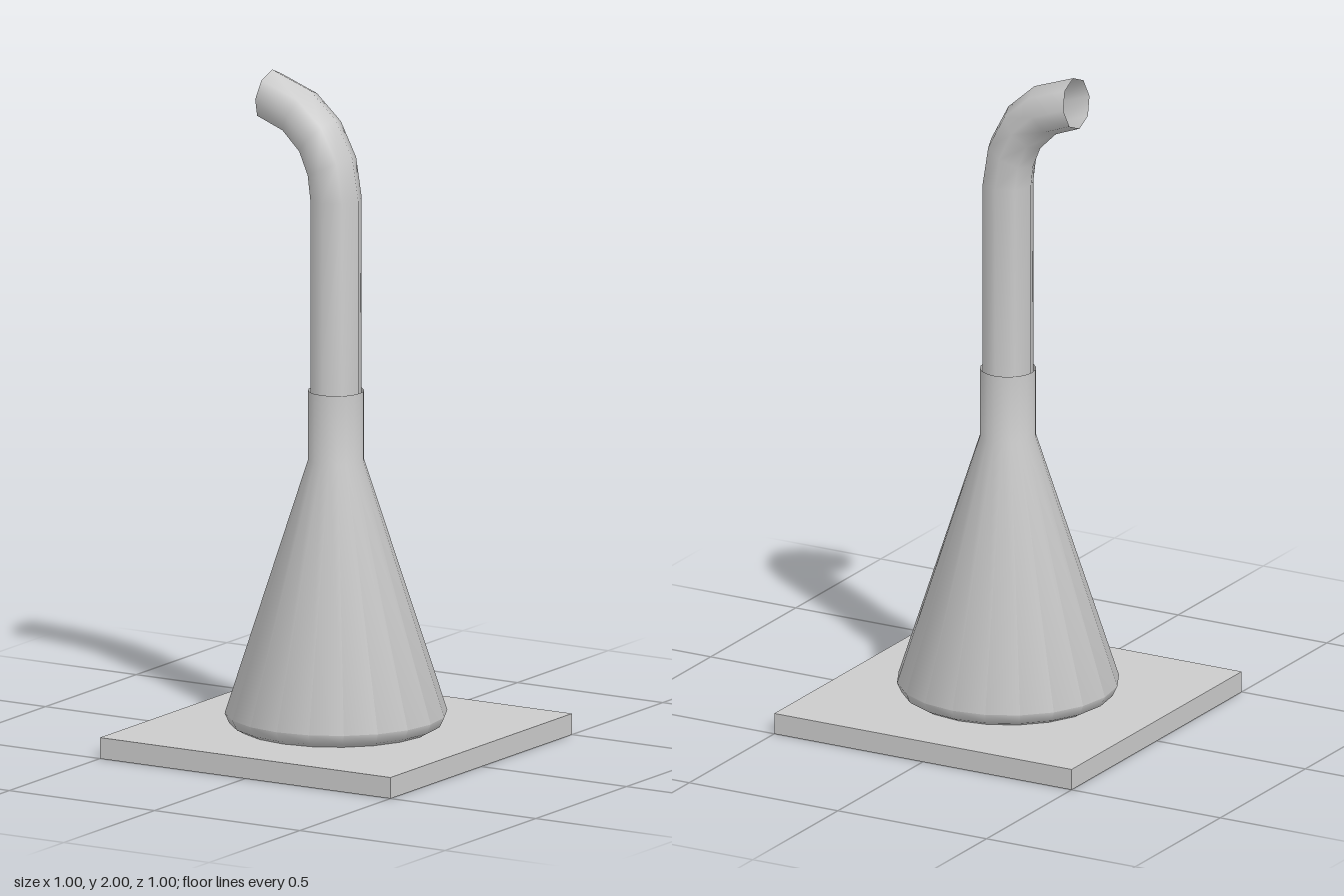
import * as THREE from 'three';
import { toCreasedNormals } from 'three/addons/utils/BufferGeometryUtils.js';

const BASE_TOP = 0.063;
const PIPE_RADIUS = 0.077;

export function createModel() {
  const model = new THREE.Group();
  model.name = 'pipeStand';
  const solid = new THREE.MeshStandardMaterial({ color: 0xcccccc });
  const open = new THREE.MeshStandardMaterial({ color: 0xcccccc, side: THREE.DoubleSide });

  const add = (name, geometry, material) => {
    const mesh = new THREE.Mesh(geometry, material);
    mesh.name = name;
    model.add(mesh);
    return mesh;
  };

  // Square base plate
  add('basePlate', new THREE.BoxGeometry(1, BASE_TOP, 1), solid).position.y = BASE_TOP / 2;

  // Cone with rounded foot, running up into a straight collar
  const profile = [
    [0.29, BASE_TOP], [0.312, 0.075], [0.326, 0.105], [0.082, 0.86], [0.082, 1.067],
  ].map(([r, y]) => new THREE.Vector2(r, y));
  add('coneAndCollar', toCreasedNormals(new THREE.LatheGeometry(profile, 20), 0.75), open);

  // Bent outlet pipe: ring centres (x, y) and ring tilt in degrees
  const rings = [
    [0, 0.86, 0], [0, 1.64, 0], [-0.014, 1.735, 25],
    [-0.055, 1.82, 46], [-0.125, 1.885, 62], [-0.23, 1.924, 82],
  ];
  const last = rings.length - 1;
  const pipe = new THREE.CylinderGeometry(PIPE_RADIUS, PIPE_RADIUS, 1, 8, last, true);
  const pos = pipe.attributes.position;
  for (let i = 0; i < pos.count; i++) {
    // Move each ring of the straight tube onto the bend
    const [cx, cy, tilt] = rings[Math.round((pos.getY(i) + 0.5) * last)];
    const a = THREE.MathUtils.degToRad(tilt);
    const r = pos.getX(i);
    pos.setXYZ(i, cx + r * Math.cos(a), cy + r * Math.sin(a), pos.getZ(i));
  }
  add('bentPipe', toCreasedNormals(pipe, 1.2), open);

  return model;
}
